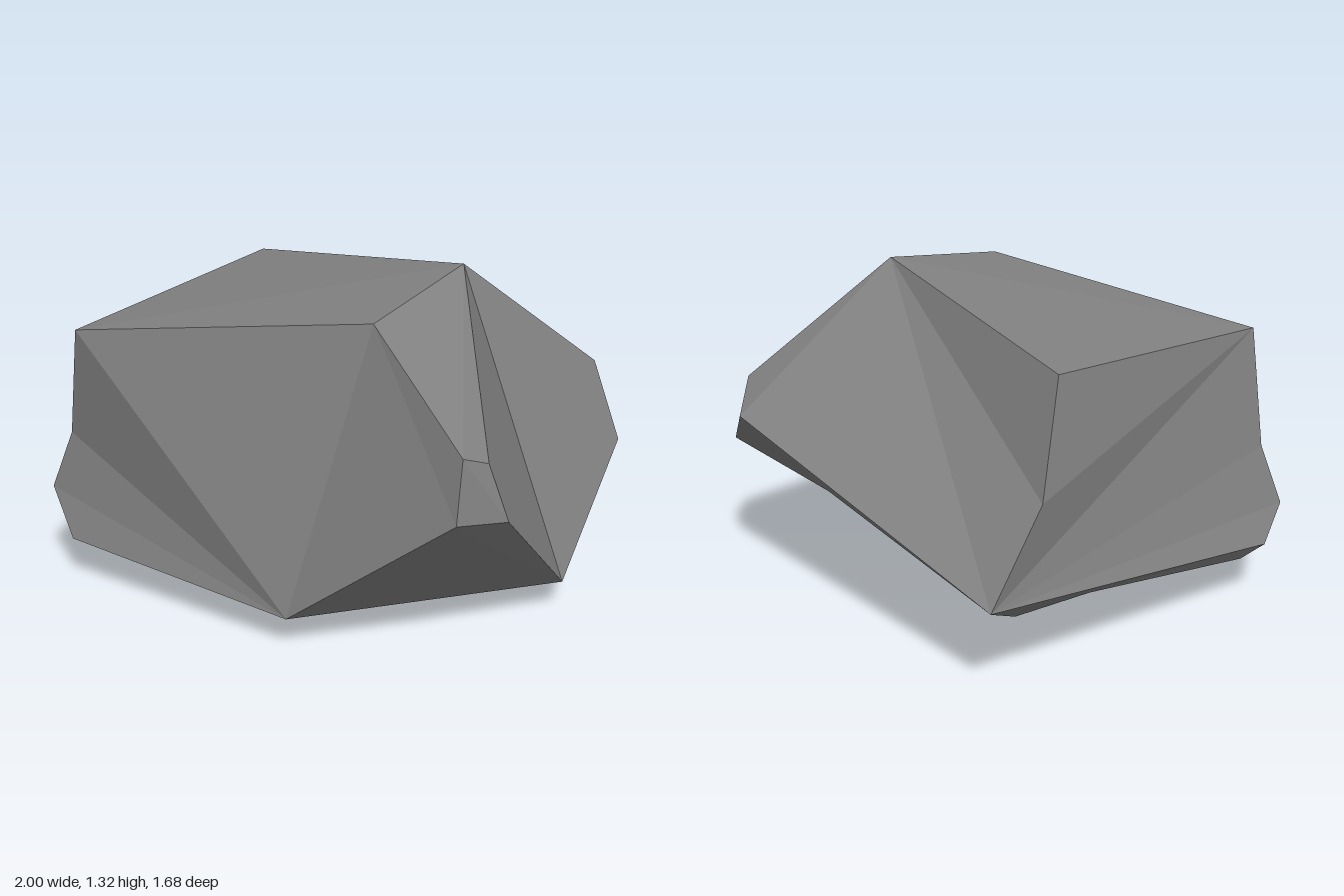
import * as THREE from 'three';

// Corners of the boulder
const corners = {
  // crown
  A: [0.49, 1.32, -0.04], B: [0.42, 1.24, 0.56], C: [-0.78, 1.075, 0.73], D: [-0.64, 1.14, -0.41],
  // chipped front shoulder
  E: [0.87, 0.89, 0.76], F: [0.925, 0.85, 0.665], G: [0.875, 0.66, 0.81], H: [1.0, 0.64, 0.65],
  // chipped back shoulder and back ridge
  O: [0.74, 0.75, -0.685], P: [0.87, 0.85, -0.51], Q: [1.0, 0.54, -0.485],
  N: [-0.68, 0.38, -0.845], R: [-0.71, 0.72, -0.59],
  // dent and chipped corner on the side
  S: [-0.885, 0.61, 0.665], T: [-0.97, 0.37, 0.7], U: [-1.0, 0.25, 0.53],
  V: [-0.905, 0.165, 0.51], W: [-0.83, 0.195, 0.77],
  // underside
  I: [0.21, 0.14, 0.84], J: [0.985, 0.125, 0.04], K: [-0.1, 0, 0.24],
  L: [0.23, 0.045, -0.12], M: [-0.43, 0.105, -0.38], X: [-0.5, 0.075, 0.02],
};

// Facets, each a loop of corners
const facets = {
  top: 'ABC ACD ADR',
  front: 'BCI BIG BGE CSI ISTW',
  back: 'ARN ANO AOP OQP JQO JON',
  sides: 'APQJ AJHF AFEB EFHG CDR CRN CNS NUTS TUVW',
  underside: 'GIJH WIK KIJ JLK JNML LMXK XMNU XUV KXVW',
};

// Fans every loop into triangles, turned to face away from the middle
function facetGeometry(loops) {
  const middle = new THREE.Vector3(0, 0.6, 0);
  const normal = new THREE.Vector3();
  const points = [];
  for (const loop of loops) {
    const p = [...loop].map((name) => new THREE.Vector3(...corners[name]));
    for (let i = 1; i < p.length - 1; i++) {
      const tri = new THREE.Triangle(p[0], p[i], p[i + 1]);
      const outward = tri.getNormal(normal).dot(p[0].clone().sub(middle)) > 0;
      points.push(p[0], ...(outward ? [p[i], p[i + 1]] : [p[i + 1], p[i]]));
    }
  }
  const geometry = new THREE.BufferGeometry().setFromPoints(points);
  geometry.computeVertexNormals();
  return geometry;
}

export function createModel() {
  const group = new THREE.Group();
  group.name = 'boulder';
  const stone = new THREE.MeshStandardMaterial({ color: 0x808080 });
  stone.name = 'stone grey';
  stone.flatShading = true;

  const loops = Object.values(facets).join(' ').split(' ');
  const rock = new THREE.Mesh(facetGeometry(loops), stone);
  rock.name = 'rock';
  group.add(rock);
  return group;
}
